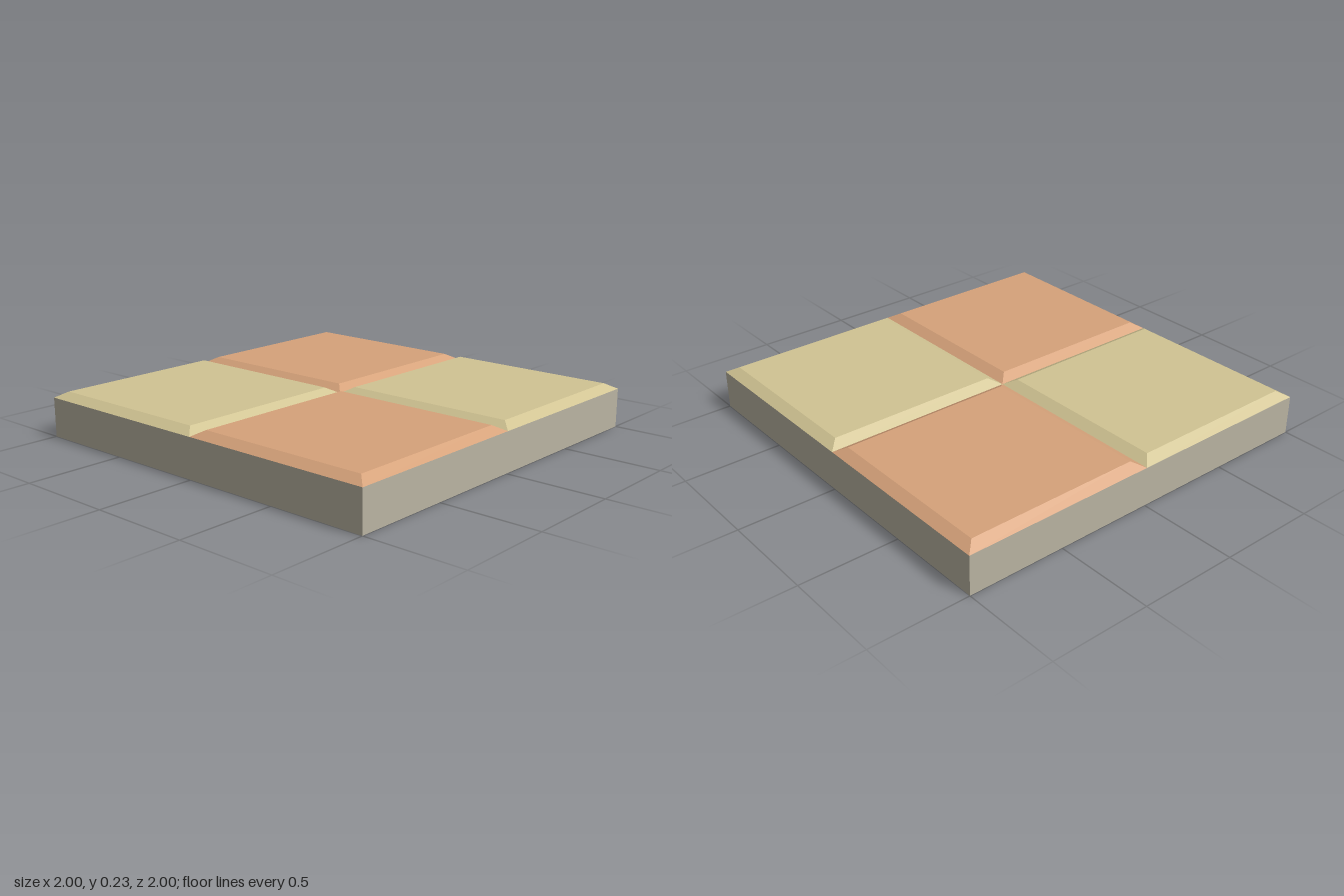
import * as THREE from 'three';

const mat = (name, color) => {
  const m = new THREE.MeshStandardMaterial({ color });
  m.name = name;
  return m;
};

// Square tile whose top face is drawn in to leave a sloped bevel
function tileGeometry(size, height, bevel) {
  const geo = new THREE.BoxGeometry(size, height, size).translate(0, height / 2, 0);
  const p = geo.attributes.position;
  const s = (size - 2 * bevel) / size;
  for (let i = 0; i < p.count; i++) {
    if (p.getY(i) > height / 2) p.setXYZ(i, p.getX(i) * s, height, p.getZ(i) * s);
  }
  geo.computeVertexNormals();
  return geo;
}

export function createModel() {
  const model = new THREE.Group();
  model.name = 'tiledFloor';
  const stone = mat('grey stone', 0xbab4a2);
  const sand = mat('sand', 0xd1c493);
  const clay = mat('clay', 0xd6a27a);

  // Slab under the tiles
  const slab = new THREE.Mesh(new THREE.BoxGeometry(2, 0.2, 2), stone);
  slab.name = 'slab';
  slab.position.y = 0.1;
  model.add(slab);

  // Four bevelled tiles in a checker pattern
  const geo = tileGeometry(1, 0.03, 0.053);
  for (const x of [-1, 1]) {
    for (const z of [-1, 1]) {
      const tile = new THREE.Mesh(geo, x === z ? sand : clay);
      tile.name = `${z > 0 ? 'front' : 'back'}${x > 0 ? 'Left' : 'Right'}Tile`;
      tile.position.set(x / 2, 0.2, z / 2);
      model.add(tile);
    }
  }
  return model;
}
